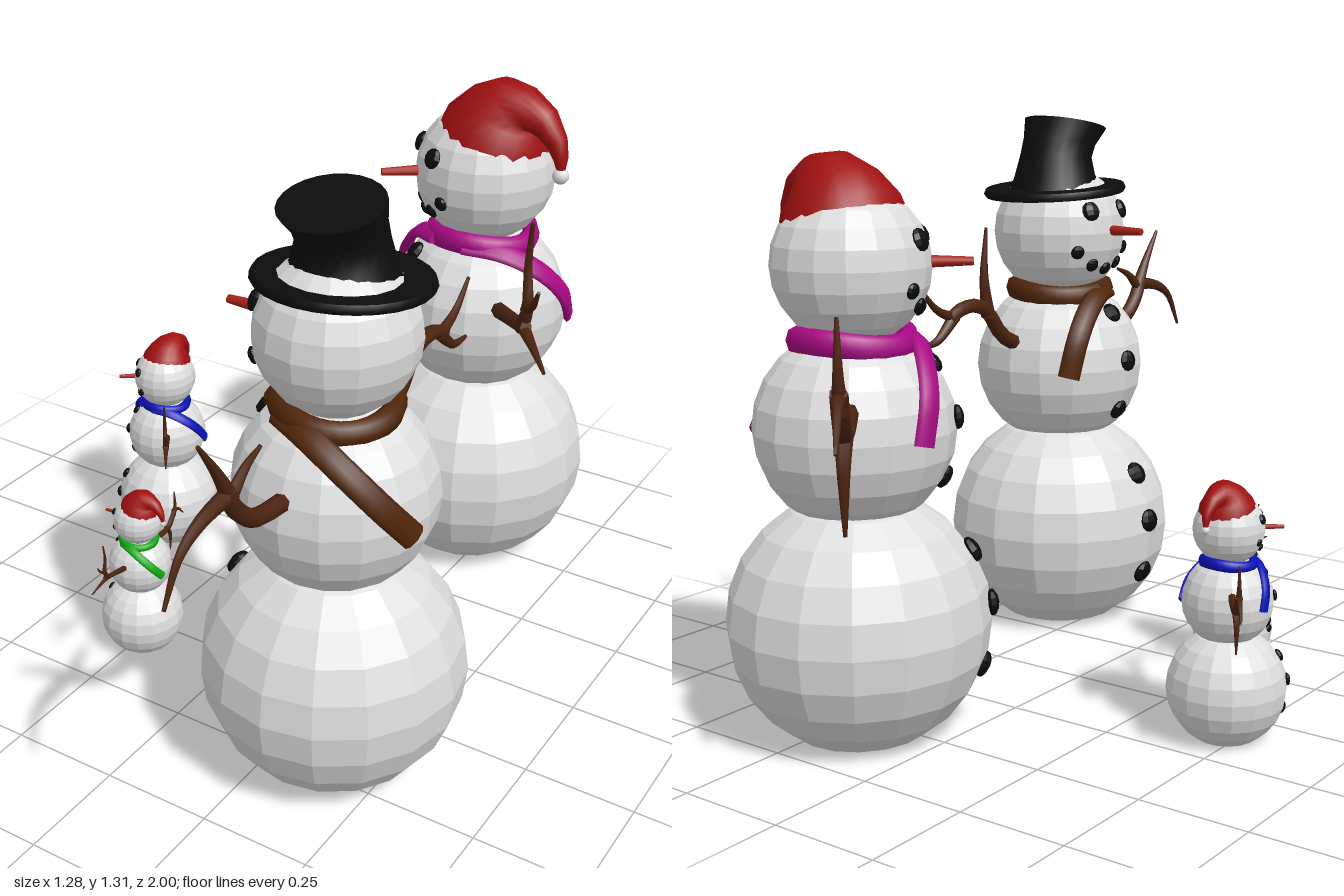
import * as THREE from 'three';

const mat = (name, color) => Object.assign(new THREE.MeshStandardMaterial({ color }), { name });
const V = (x, y, z) => new THREE.Vector3(x, y, z);

const snow = mat('snow', 0xdedede);
const coal = mat('coal', 0x0c0c0c);
const carrot = mat('carrot', 0xa8231a);
const red = mat('hatRed', 0xa01010);
const bark = mat('bark', 0x4c2410);
const brown = mat('brownWool', 0x502608);
const pink = mat('pinkWool', 0xaa0a86);
const blue = mat('blueWool', 0x0a12b8);
const green = mat('greenWool', 0x0fa812);

function part(parent, name, geo, material) {
  const mesh = new THREE.Mesh(geo, material);
  mesh.name = name;
  parent.add(mesh);
  return mesh;
}

// Separates the faces so that each one is shaded flat
function faceted(geo) {
  const g = geo.toNonIndexed();
  g.computeVertexNormals();
  return g;
}

// Skins a row of rings (each counter-clockwise about the direction of travel), with end caps
function loft(rings) {
  const n = rings[0].length, pos = [], idx = [];
  rings.forEach(r => r.forEach(p => pos.push(p.x, p.y, p.z)));
  for (let i = 0; i < rings.length - 1; i++) {
    for (let j = 0; j < n; j++) {
      const a = i * n + j, b = i * n + (j + 1) % n;
      idx.push(a, b, b + n, a, b + n, a + n);
    }
  }
  [rings[0], rings[rings.length - 1]].forEach((ring, end) => {
    const base = pos.length / 3;
    const mid = ring.reduce((s, p) => s.add(p), V(0, 0, 0)).divideScalar(n);
    [...ring, mid].forEach(p => pos.push(p.x, p.y, p.z));
    for (let j = 0; j < n; j++) {
      const a = base + j, b = base + (j + 1) % n;
      if (end) idx.push(a, b, base + n); else idx.push(b, a, base + n);
    }
  });
  const g = new THREE.BufferGeometry();
  g.setAttribute('position', new THREE.Float32BufferAttribute(pos, 3));
  g.setIndex(idx);
  g.computeVertexNormals();
  return g;
}

// Sweeps an ellipse along a curve; 'out' gives the direction of the first half axis
function sweep(points, steps, sides, size, out) {
  const curve = new THREE.CatmullRomCurve3(points), rings = [];
  for (let i = 0; i <= steps; i++) {
    const t = i / steps, c = curve.getPoint(t), T = curve.getTangent(t);
    const N = out(c).addScaledVector(T, -out(c).dot(T)).normalize();
    const B = T.clone().cross(N), [a, b] = size(t), ring = [];
    for (let j = 0; j < sides; j++) {
      const w = (j / sides) * Math.PI * 2;
      ring.push(c.clone().addScaledVector(N, a * Math.cos(w)).addScaledVector(B, b * Math.sin(w)));
    }
    rings.push(ring);
  }
  return loft(rings);
}

// Stacked circles given as [x, y, radius, tilt]
function stack(rows, sides = 24) {
  return loft(rows.map(([x, y, r, t]) => Array.from({ length: sides }, (_, j) => {
    const w = (j / sides) * Math.PI * 2, c = r * Math.cos(w);
    return V(x + c * Math.cos(t), y - c * Math.sin(t), -r * Math.sin(w));
  })));
}

// Body: three faceted balls, the lowest cut flat
const BASE = { y: 0.258, r: 0.287 }, MID = { y: 0.68, r: 0.217 }, HEAD = { y: 1.025, r: 0.17 };
function addBody(g) {
  const cut = Math.PI * 5 / 6;
  part(g, 'baseBall', faceted(new THREE.SphereGeometry(BASE.r, 16, 10, 0, Math.PI * 2, 0, cut)), snow).position.y = BASE.y;
  const foot = part(g, 'baseUnderside', new THREE.CircleGeometry(BASE.r * Math.sin(cut), 16), snow);
  foot.rotation.x = Math.PI / 2;
  foot.position.y = BASE.y + BASE.r * Math.cos(cut);
  part(g, 'middleBall', faceted(new THREE.SphereGeometry(MID.r, 16, 12)), snow).position.y = MID.y;
  part(g, 'headBall', faceted(new THREE.SphereGeometry(HEAD.r, 16, 12)), snow).position.y = HEAD.y;
}

// Coal lump pressed onto a ball at sideways offset x and height offset y
function addCoal(g, name, ball, x, y, r) {
  const z = Math.sqrt(ball.r ** 2 - x * x - y * y);
  const lump = part(g, name, faceted(new THREE.SphereGeometry(r, 8, 6)), coal);
  lump.scale.z = 0.55;
  lump.lookAt(x, y, z);
  lump.position.set(x, y + ball.y, z);
}

function addFace(g) {
  for (const s of [-1, 1]) {
    addCoal(g, 'eye', HEAD, s * 0.066, 0.057, 0.025);
    addCoal(g, 'mouthStone', HEAD, s * 0.1, -0.045, 0.018);
    addCoal(g, 'mouthStone', HEAD, s * 0.052, -0.08, 0.018);
  }
  addCoal(g, 'mouthStone', HEAD, 0, -0.092, 0.018);
  for (const y of [0.14, 0.02, -0.11]) addCoal(g, 'button', MID, 0, y, 0.027);
  for (const y of [0.15, 0.03, -0.11]) addCoal(g, 'button', BASE, 0, y, 0.03);
  const nose = part(g, 'nose', new THREE.CylinderGeometry(0.009, 0.014, 0.11, 10), carrot);
  nose.rotation.x = Math.PI / 2;
  nose.position.set(0, HEAD.y + 0.006, 0.2);
}

// Scarf: a wavy neck ring and two tails lying on the middle ball
function addScarf(g, wool) {
  const flat = p => V(p.x, 0, p.z);
  const round = p => V(p.x, p.y - MID.y, p.z);
  const ring = Array.from({ length: 17 }, (_, i) => {
    const w = (i / 16) * Math.PI * 2;
    return V(0.118 * Math.sin(w), 0.868 + 0.008 * Math.sin(2 * w), 0.118 * Math.cos(w));
  });
  part(g, 'scarfRing', sweep(ring, 32, 8, () => [0.022, 0.03], flat), wool);
  const tails = [
    [V(0.1, 0.872, 0.07), V(0.14, 0.862, -0.02), V(0.15, 0.815, -0.11), V(0.12, 0.74, -0.18), V(0.06, 0.66, -0.215)],
    [V(0.04, 0.875, 0.12), V(-0.03, 0.865, 0.14), V(-0.1, 0.82, 0.155), V(-0.145, 0.76, 0.16), V(-0.165, 0.67, 0.148)],
  ];
  for (const t of tails) part(g, 'scarfTail', sweep(t, 14, 8, () => [0.012, 0.028], round), wool);
}

// Arms: tapering twigs, each a list of [distance from the axis, height]
const LEFT = [
  [0.02, 0.014, [[0.19, 0.74], [0.3, 0.77], [0.38, 0.79], [0.44, 0.81]]],
  [0.018, 0.005, [[0.4, 0.79], [0.44, 0.86], [0.425, 0.95], [0.44, 1.06]]],
  [0.014, 0.004, [[0.43, 0.85], [0.48, 0.88], [0.52, 0.93]]],
  [0.016, 0.004, [[0.41, 0.8], [0.5, 0.79], [0.6, 0.775]]],
];
const RIGHT = [
  [0.02, 0.018, [[0.19, 0.75], [0.3, 0.735], [0.38, 0.74], [0.44, 0.79], [0.48, 0.84]]],
  [0.02, 0.004, [[0.36, 0.75], [0.4, 0.69], [0.405, 0.62], [0.4, 0.55]]],
  [0.018, 0.004, [[0.46, 0.8], [0.485, 0.87], [0.48, 0.98]]],
  [0.018, 0.004, [[0.46, 0.83], [0.52, 0.82], [0.59, 0.75]]],
];
const TALL_LEFT = [
  [0.02, 0.018, [[0.19, 0.74], [0.29, 0.755], [0.35, 0.8], [0.385, 0.86]]],
  [0.018, 0.004, [[0.37, 0.84], [0.41, 0.91], [0.465, 0.99]]],
  [0.018, 0.004, [[0.38, 0.85], [0.47, 0.835], [0.53, 0.8], [0.58, 0.715]]],
  [0.014, 0.004, [[0.37, 0.84], [0.32, 0.88], [0.27, 0.9]]],
];
const TALL_RIGHT = [
  [0.02, 0.016, [[0.19, 0.75], [0.25, 0.78], [0.32, 0.855], [0.4, 0.86], [0.45, 0.84]]],
  [0.018, 0.004, [[0.3, 0.83], [0.315, 0.93], [0.305, 1.05]]],
  [0.016, 0.004, [[0.43, 0.845], [0.5, 0.79], [0.56, 0.785]]],
  [0.014, 0.004, [[0.43, 0.84], [0.5, 0.87], [0.56, 0.93]]],
];
function addArm(g, name, twigs, side) {
  const arm = new THREE.Group();
  arm.name = name;
  for (const [r0, r1, pts] of twigs) {
    const size = t => Array(2).fill(r0 + (r1 - r0) * t);
    part(arm, 'twig', sweep(pts.map(([d, y]) => V(side * d, y, 0)), 10, 7, size, () => V(0, 0, 1)), bark);
  }
  g.add(arm);
}

// Crooked top hat
function addTopHat(g) {
  part(g, 'hatBrim', stack([[-0.02, 1.12, 0.178, -0.08], [-0.02, 1.128, 0.183, -0.08], [-0.021, 1.14, 0.178, -0.08]], 28), coal);
  part(g, 'hatCrown', stack([[-0.02, 1.13, 0.118, -0.08], [-0.02, 1.17, 0.103, -0.02],
    [-0.015, 1.215, 0.092, 0.08], [0, 1.25, 0.093, 0.16], [0.027, 1.296, 0.106, 0.21]]), coal);
}

// Floppy cap whose tip hangs towards its own +x
function addCap(g, turn) {
  const cap = new THREE.Group();
  cap.name = 'cap';
  cap.rotation.y = turn;
  part(cap, 'capBand', stack([[0.016, 1.1, 0.136, 0.2], [0.018, 1.107, 0.141, 0.2], [0.02, 1.116, 0.136, 0.2]]), snow);
  part(cap, 'capCloth', stack([[0.02, 1.115, 0.136, 0.2], [0.028, 1.15, 0.126, 0.26], [0.048, 1.185, 0.1, 0.45],
    [0.08, 1.205, 0.075, 0.8], [0.12, 1.2, 0.054, 1.3], [0.165, 1.175, 0.038, 1.9], [0.195, 1.135, 0.026, 2.5],
    [0.207, 1.1, 0.018, 2.9], [0.21, 1.07, 0.01, 3.1]], 20), red);
  part(cap, 'capBobble', new THREE.SphereGeometry(0.02, 12, 8), snow).position.set(0.21, 1.058, 0);
  g.add(cap);
}

export function createModel() {
  const model = new THREE.Group();
  model.name = 'snowFamily';
  // Each: name, x, z, scale, heading, wool, heading of the cap tip (null for the top hat)
  const deg = Math.PI / 180;
  const family = [
    ['tallSnowmanWithTopHat', 0.36, 0.415, 1, -90, brown, null],
    ['tallSnowmanWithCap', 0.193, -0.548, 1, -50, pink, -8],
    ['middleSnowman', -0.471, -0.114, 0.458, -54, blue, 90],
    ['smallSnowman', -0.231, 0.322, 0.342, -84, green, 0],
  ];
  for (const [name, x, z, size, heading, wool, tip] of family) {
    const g = new THREE.Group();
    g.name = name;
    addBody(g);
    addFace(g);
    addScarf(g, wool);
    const tall = tip === null;
    addArm(g, 'leftArm', tall ? TALL_LEFT : LEFT, 1);
    addArm(g, 'rightArm', tall ? TALL_RIGHT : RIGHT, -1);
    if (tall) addTopHat(g); else addCap(g, (tip - heading) * deg);
    g.position.set(x, 0, z);
    g.scale.setScalar(size);
    g.rotation.y = heading * deg;
    model.add(g);
  }
  return model;
}
